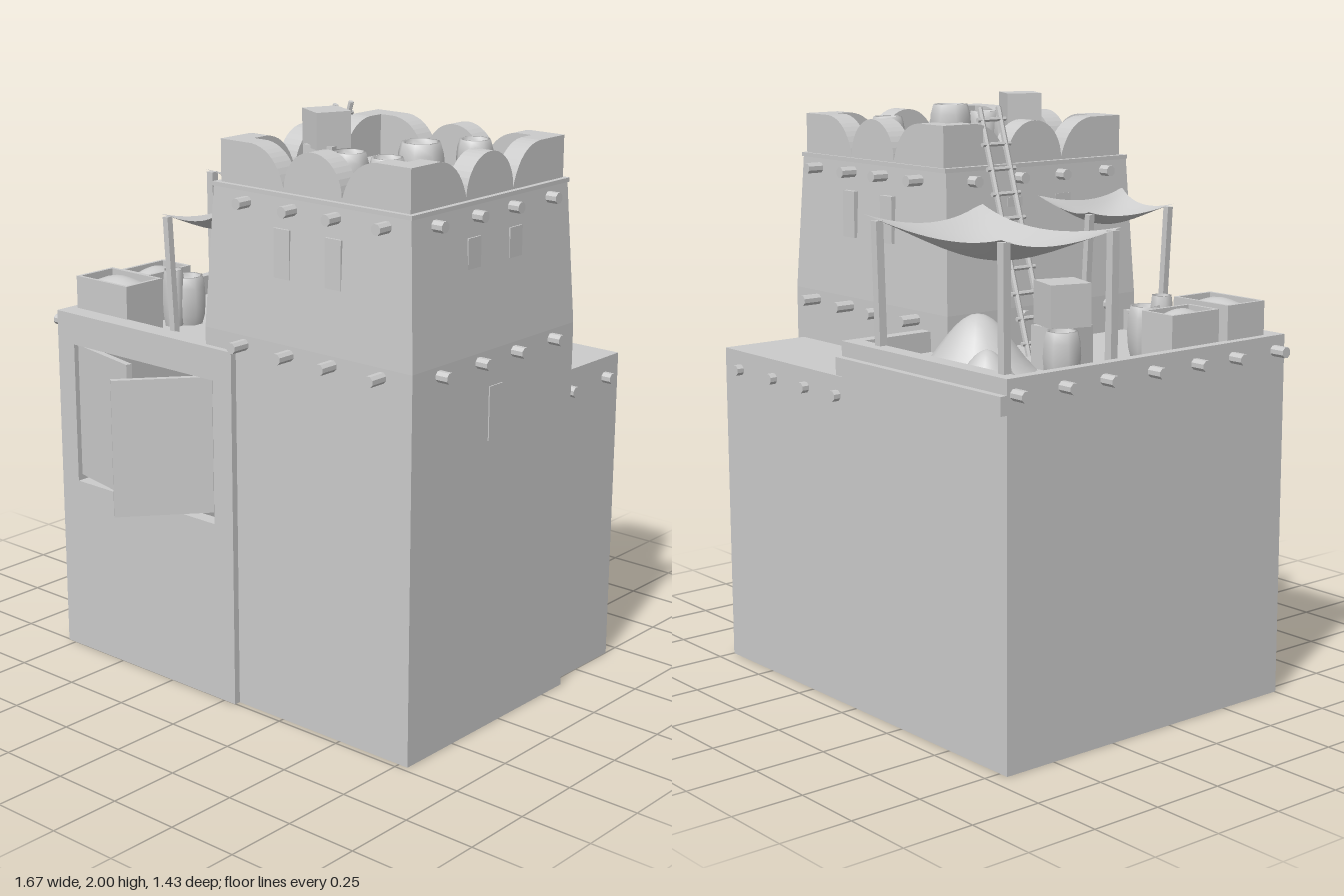
import * as THREE from 'three';

const mat = new THREE.MeshStandardMaterial({ color: 0xcccccc, flatShading: true });
const thin = new THREE.MeshStandardMaterial({ color: 0xcccccc, side: THREE.DoubleSide });
const thinFlat = new THREE.MeshStandardMaterial({ color: 0xcccccc, flatShading: true, side: THREE.DoubleSide });

export function createModel() {
  const root = new THREE.Group();
  const add = (name, geo, x = 0, y = 0, z = 0, m = mat) => {
    const mesh = new THREE.Mesh(geo, m);
    mesh.name = name;
    mesh.position.set(x, y, z);
    root.add(mesh);
    return mesh;
  };
  // Box given by its limits on each axis
  const block = (name, x0, x1, y0, y1, z0, z1) =>
    add(name, new THREE.BoxGeometry(x1 - x0, y1 - y0, z1 - z0), (x0 + x1) / 2, (y0 + y1) / 2, (z0 + z1) / 2);
  // Thin-walled box lacking some faces (0 +x, 1 -x, 2 top, 3 bottom, 4 front, 5 back)
  const shell = (missing, ...args) => {
    const mesh = block(...args), index = [...mesh.geometry.index.array];
    mesh.geometry.setIndex(index.filter((_, i) => !missing.includes(Math.floor(i / 6))));
    mesh.material = thinFlat;
    return mesh;
  };
  // Cylinder between two points
  const rod = (name, a, b, r, sides = 8) => {
    const p = new THREE.Vector3(...a), d = new THREE.Vector3(...b).sub(p);
    const mesh = add(name, new THREE.CylinderGeometry(r, r, d.length(), sides, 1, false, Math.PI / sides));
    mesh.position.copy(p).addScaledVector(d, 0.5);
    mesh.quaternion.setFromUnitVectors(new THREE.Vector3(0, 1, 0), d.normalize());
    return mesh;
  };

  // Hollow house, open below, with a window opening in front
  const rect = (path, x0, x1, y0, y1) => path.moveTo(x0, y0).lineTo(x1, y0).lineTo(x1, y1).lineTo(x0, y1).closePath();
  const wall = rect(new THREE.Shape(), -0.785, 0.05, 0, 1.24);
  const hole = rect(new THREE.Path(), -0.705, -0.035, 0.63, 1.13);
  wall.holes.push(hole);
  add('houseFrontWall', new THREE.ShapeGeometry(wall), 0, 0, 0.503, thinFlat);
  const frame = rect(new THREE.Shape(), -0.715, -0.025, 0.62, 1.14);
  frame.holes.push(hole);
  add('windowFrame', new THREE.ExtrudeGeometry(frame, { depth: 0.05, bevelEnabled: false }), 0, 0, 0.452);
  shell([2, 3, 4], 'houseWalls', -0.785, 0.05, 0, 1.24, -0.69, 0.503);
  shell([0, 1, 3, 4, 5], 'houseRoof', -0.75, 0.005, 1.13, 1.17, -0.63, 0.43);

  // Rim around the house roof
  block('roofRim', -0.785, 0.05, 1.165, 1.24, 0.43, 0.503);
  block('roofRim', -0.785, 0.05, 1.165, 1.24, -0.69, -0.63);
  block('roofRim', -0.785, -0.75, 1.165, 1.24, -0.63, 0.43);
  block('roofRim', 0.005, 0.05, 1.165, 1.24, -0.63, 0.43);
  block('backBand', -0.785, 0.05, 1.13, 1.19, -0.715, -0.69);

  // Shutters swung outward
  const shutter = (x0, z0, x1, z1) => {
    const s = add('shutter', new THREE.BoxGeometry(Math.hypot(x1 - x0, z1 - z0), 0.475, 0.022), (x0 + x1) / 2, 0.888, (z0 + z1) / 2);
    s.rotation.y = -Math.atan2(z1 - z0, x1 - x0);
  };
  shutter(-0.7, 0.475, -0.39, 0.54);
  shutter(-0.085, 0.455, -0.3, 0.71);

  // Low rear block, open below
  shell([1, 3, 4], 'rearBlock', 0.05, 0.75, 0, 1.12, -0.69, -0.36);

  // Tower: straight base, wider middle and tapered upper storey
  const cx = 0.352, cz = 0.055;
  shell([2, 3], 'towerBase', 0.03, 0.785, 0, 1.17, -0.36, 0.48);
  shell([2, 3], 'towerMiddle', -0.085, 0.785, 1.17, 1.3, -0.36, 0.48);
  const upper = shell([3], 'towerUpper', -0.085, 0.785, 1.3, 1.78, -0.36, 0.48);
  const pos = upper.geometry.attributes.position;
  for (let i = 0; i < pos.count; i++)
    if (pos.getY(i) > 0) pos.setXYZ(i, pos.getX(i) * 0.935, pos.getY(i), pos.getZ(i) * 0.95);
  block('towerLedge', cx - 0.411, cx + 0.409, 1.768, 1.782, cz - 0.4, cz + 0.408);

  // Scalloped parapet and shallow window slabs on each tower side
  const scallop = new THREE.Shape();
  scallop.moveTo(-0.39, 0).lineTo(0.39, 0).lineTo(0.39, 0.14).lineTo(0.255, 0.14);
  scallop.quadraticCurveTo(0.155, 0.13, 0.12, 0.01);
  scallop.absellipse(0, 0.01, 0.12, 0.13, 0, Math.PI, false, 0);
  scallop.quadraticCurveTo(-0.155, 0.13, -0.255, 0.14);
  scallop.lineTo(-0.39, 0.14).closePath();
  const scallopGeo = new THREE.ExtrudeGeometry(scallop, { depth: 0.075, bevelEnabled: false, curveSegments: 10 });
  scallopGeo.translate(0, 0, 0.315);
  for (let i = 0; i < 4; i++) {
    const side = new THREE.Group();
    side.name = 'towerSide';
    side.position.set(cx, 0, cz);
    side.rotation.y = i * Math.PI / 2;
    const parapet = new THREE.Mesh(scallopGeo, mat);
    parapet.name = 'parapet';
    parapet.position.y = 1.78;
    side.add(parapet);
    for (const s of [-1, 1]) {
      const slab = new THREE.Mesh(new THREE.BoxGeometry(0.065, 0.16, 0.04), mat);
      slab.name = 'towerWindow';
      slab.position.set(s * 0.107, 1.59, 0.397);
      side.add(slab);
    }
    root.add(side);
  }
  block('sideWindow', 0.77, 0.789, 1.0, 1.18, 0.025, 0.095);

  // Projecting beam ends
  const beam = (a, b) => rod('beamEnd', a, b, 0.019);
  for (const [y, out] of [[1.735, 0], [1.27, 0.03]]) {
    for (const x of [0.09, 0.285, 0.465, 0.665]) {
      beam([x, y, 0.4], [x, y, 0.515 + out]);
      beam([x - 0.01, y, -0.3], [x - 0.01, y, -0.4 - out]);
    }
    for (const z of [-0.235, -0.035, 0.15, 0.35]) {
      beam([0.7, y, z], [0.8 + out, y, z]);
      beam([0, y, z], [-0.1 - out * 0.3, y, z]);
    }
  }
  for (const z of [-0.66, -0.47, -0.3, -0.1, 0.09, 0.26, 0.455]) beam([-0.77, 1.19, z], [-0.84, 1.19, z]);
  for (const x of [0.08, 0.26, 0.45, 0.655]) beam([x, 1.055, -0.67], [x, 1.055, -0.715]);
  for (const z of [-0.61, -0.395]) beam([0.73, 1.05, z], [0.785, 1.05, z]);

  // Sagging cloth awnings: corner heights blended, centre lowered, edges drawn in
  const awning = (x0, x1, z0, z1, yl, yr, sag, pull) => {
    const g = new THREE.PlaneGeometry(2, 2, 14, 14);
    const p = g.attributes.position;
    for (let i = 0; i < p.count; i++) {
      const u = p.getX(i), v = -p.getY(i), a = 1 - u * u, b = 1 - v * v;
      p.setXYZ(i,
        (x0 + x1) / 2 + u * ((x1 - x0) / 2 - pull * b),
        yl + (yr - yl) * (u + 1) / 2 - sag * (0.35 * a + 0.35 * b + 0.3 * a * b),
        (z0 + z1) / 2 + v * ((z1 - z0) / 2 - pull * a));
    }
    g.computeVertexNormals();
    add('awning', g, 0, 0, 0, thin);
  };
  awning(-0.735, -0.055, -0.67, -0.19, 1.645, 1.66, 0.12, 0.035);
  awning(-0.32, -0.06, 0.05, 0.44, 1.635, 1.67, 0.08, 0.025);
  rod('awningPost', [-0.715, 1.17, -0.64], [-0.718, 1.635, -0.645], 0.02, 4);
  rod('awningPost', [-0.715, 1.17, -0.21], [-0.718, 1.635, -0.208], 0.02, 4);
  rod('awningPost', [-0.1, 1.17, -0.64], [-0.09, 1.64, -0.645], 0.02, 4);
  for (const z of [0.065, 0.425]) rod('awningPost', [-0.28, 1.17, z], [-0.308, 1.625, z], 0.016, 4);

  // Ladder running through the roof up to the tower
  for (const z of [-0.16, -0.08]) rod('ladderRail', [-0.39, 0.77, z], [-0.01, 1.97, z], 0.01, 6);
  for (let i = 0; i < 15; i++) {
    const t = (i + 0.5) / 15, x = -0.39 + 0.38 * t, y = 0.77 + 1.2 * t;
    rod('ladderRung', [x, y, -0.18], [x, y, -0.06], 0.008, 6);
  }

  // Open barrels
  const barrel = (x, y, z, r, h) => {
    const pts = [[0.78, 0], [0.93, 0.2], [1, 0.5], [0.95, 0.78], [0.82, 1], [0.68, 1], [0.68, 0.85], [0, 0.85]]
      .map(([a, b]) => new THREE.Vector2(a * r, b * h));
    add('barrel', new THREE.LatheGeometry(pts, 8, Math.PI / 8), x, y, z, thin);
  };
  barrel(0.54, 1.78, -0.13, 0.063, 0.13);
  barrel(0.55, 1.78, 0.16, 0.078, 0.16);
  barrel(0.39, 1.78, 0.31, 0.063, 0.13);
  barrel(0.54, 1.78, 0.31, 0.063, 0.13);
  barrel(-0.51, 1.17, 0.13, 0.063, 0.17);
  barrel(-0.525, 1.17, 0.19, 0.042, 0.2);
  barrel(-0.655, 1.17, -0.36, 0.063, 0.16);

  // Stacked cubes
  const cube = (x, y, z, s, turn) => {
    add('cubeBox', new THREE.BoxGeometry(s, s, s), x, y + s / 2, z).rotation.y = turn;
  };
  cube(0.16, 1.78, 0.16, 0.11, 0.15);
  cube(0.16, 1.88, 0.16, 0.12, -0.45);
  cube(-0.485, 1.17, -0.21, 0.14, 0.1);
  cube(-0.485, 1.31, -0.21, 0.14, -0.3);

  // Open crates heaped with goods
  const crate = (x0, x1, z0, z1, top) => {
    const t = 0.012;
    block('crateSide', x0, x0 + t, 1.17, top, z0, z1);
    block('crateSide', x1 - t, x1, 1.17, top, z0, z1);
    block('crateEnd', x0, x1, 1.17, top, z0, z0 + t);
    block('crateEnd', x0, x1, 1.17, top, z1 - t, z1);
    const goods = new THREE.PlaneGeometry(x1 - x0 - t, z1 - z0 - t, 8, 8);
    goods.rotateX(-Math.PI / 2);
    const p = goods.attributes.position;
    for (let i = 0; i < p.count; i++)
      p.setY(i, 0.04 * Math.cos(p.getX(i) / (x1 - x0) * Math.PI) * Math.cos(p.getZ(i) / (z1 - z0) * Math.PI));
    goods.computeVertexNormals();
    add('crateGoods', goods, (x0 + x1) / 2, top - 0.035, (z0 + z1) / 2, thin);
  };
  crate(-0.74, -0.6, 0.03, 0.24, 1.345);
  crate(-0.755, -0.505, 0.265, 0.435, 1.355);

  // Soft heaps on the house roof
  const heap = (x, z, r, h) => {
    const pts = [];
    for (let i = 0; i <= 8; i++) pts.push(new THREE.Vector2(r * (1 - i / 8), h * Math.sin(i / 8 * Math.PI / 2) ** 1.3));
    add('heap', new THREE.LatheGeometry(pts, 16), x, 1.17, z, thin);
  };
  heap(-0.33, -0.43, 0.19, 0.18);
  heap(-0.46, -0.5, 0.1, 0.09);

  return root;
}
